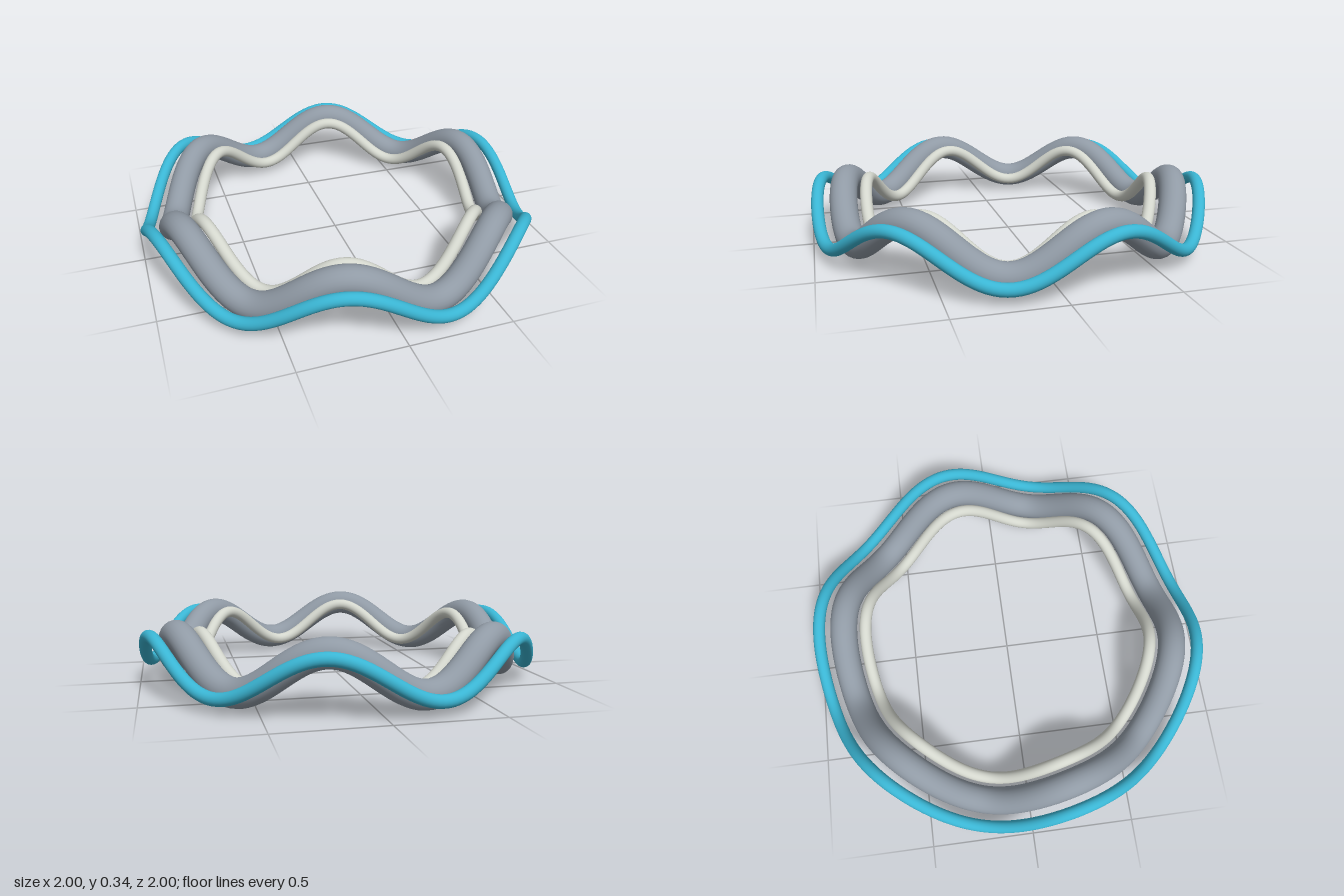
import * as THREE from 'three';

const WAVES = 6;
const AMPLITUDE = 0.1;
const MID_HEIGHT = 0.168;

// Closed circle whose height rises and falls in a sine wave
class WavyCircle extends THREE.Curve {
  constructor(radius) {
    super();
    this.radius = radius;
  }
  getPoint(t, target = new THREE.Vector3()) {
    const a = t * Math.PI * 2;
    return target.set(
      this.radius * Math.cos(a),
      MID_HEIGHT - AMPLITUDE * Math.sin(WAVES * a),
      this.radius * Math.sin(a)
    );
  }
}

function material(name, color) {
  const m = new THREE.MeshStandardMaterial({ color });
  m.name = name;
  return m;
}

function wavyRing(name, radius, thickness, mat) {
  const geometry = new THREE.TubeGeometry(new WavyCircle(radius), 240, thickness, 24, true);
  const mesh = new THREE.Mesh(geometry, mat);
  mesh.name = name;
  return mesh;
}

export function createModel() {
  const group = new THREE.Group();
  group.name = 'wavyBangle';

  // Three concentric bands sharing the same wave
  group.add(
    wavyRing('outerRing', 0.97, 0.03, material('turquoise', 0x3ab5d3)),
    wavyRing('middleRing', 0.842, 0.068, material('steelGrey', 0x909aa5)),
    wavyRing('innerRing', 0.73, 0.03, material('paleSilver', 0xd3d6cd))
  );
  return group;
}
